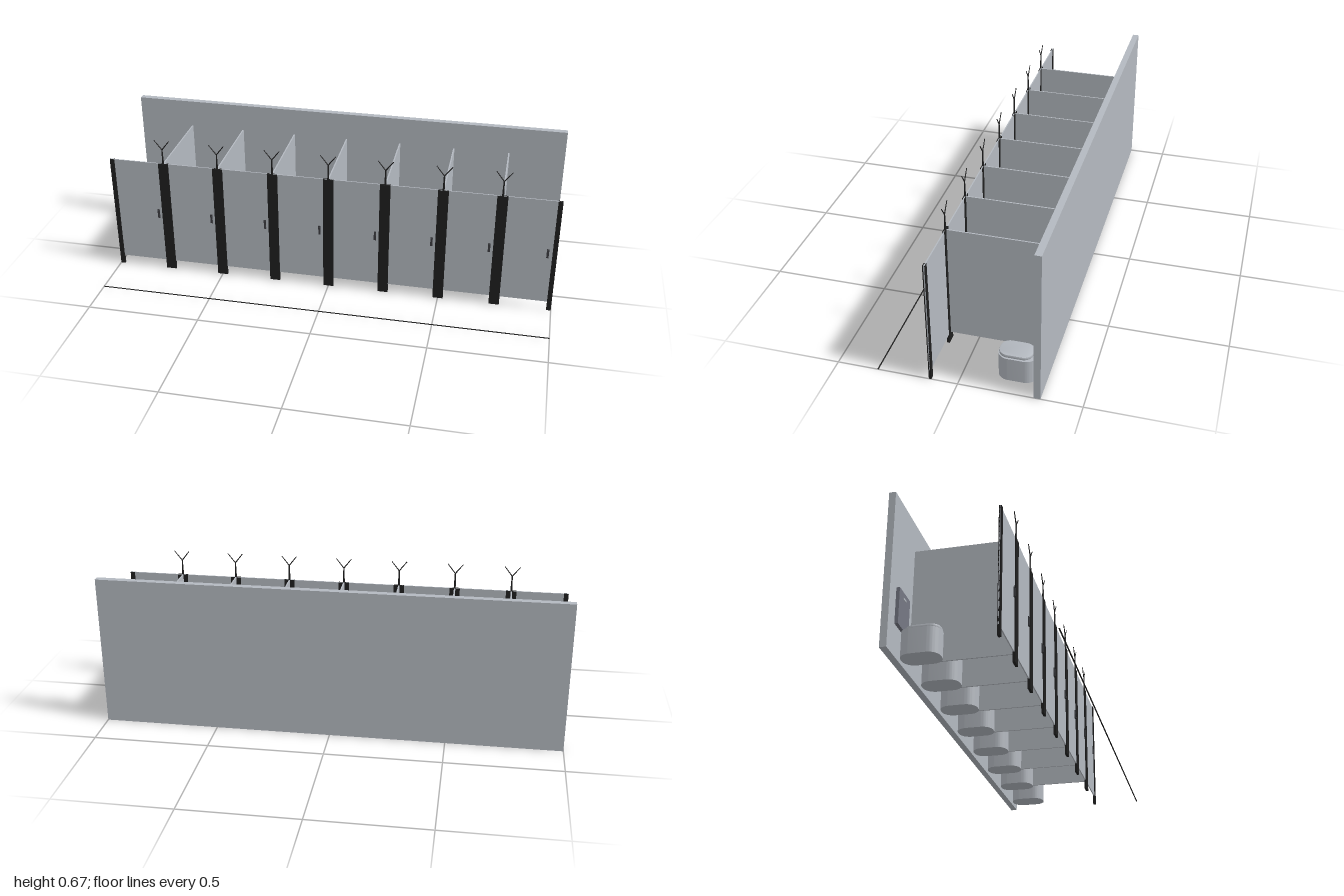
import * as THREE from 'three';
import { toCreasedNormals } from 'three/addons/utils/BufferGeometryUtils.js';

const mat = (name, color) => {
  const m = new THREE.MeshStandardMaterial({ color });
  m.name = name;
  return m;
};

export function createModel() {
  const root = new THREE.Group();
  root.name = 'toiletCubicleRow';
  const panel = mat('pale grey', 0xb4b9c0);
  const black = mat('black', 0x1f1f1f);
  const steel = mat('steel grey', 0x757883);
  const dark = mat('dark grey', 0x3c3d41);

  const add = (parent, name, geo, material) => {
    const mesh = new THREE.Mesh(geo, material);
    mesh.name = name;
    parent.add(mesh);
    return mesh;
  };
  // box given by its minimum and maximum corners
  const box = (parent, name, material, [x0, y0, z0], [x1, y1, z1]) => {
    const mesh = add(parent, name, new THREE.BoxGeometry(x1 - x0, y1 - y0, z1 - z0), material);
    mesh.position.set((x0 + x1) / 2, (y0 + y1) / 2, (z0 + z1) / 2);
    return mesh;
  };
  // upright solid with a rounded rectangular plan
  const roundedSolid = (w, z0, z1, r, y0, y1, bevel = 0) => {
    const a = w / 2 - bevel, b = (z1 - z0) / 2 - bevel;
    const s = new THREE.Shape();
    s.moveTo(a, -b + r);
    s.lineTo(a, b - r);
    s.absarc(a - r, b - r, r, 0, Math.PI / 2);
    s.absarc(-a + r, b - r, r, Math.PI / 2, Math.PI);
    s.absarc(-a + r, -b + r, r, Math.PI, Math.PI * 1.5);
    s.absarc(a - r, -b + r, r, Math.PI * 1.5, Math.PI * 2);
    const geo = new THREE.ExtrudeGeometry(s, {
      depth: y1 - y0 - 2 * bevel, curveSegments: 10, bevelEnabled: bevel > 0,
      bevelSize: bevel, bevelThickness: bevel, bevelSegments: 2,
    });
    geo.rotateX(-Math.PI / 2);
    geo.translate(0, y0 + bevel, (z0 + z1) / 2);
    return toCreasedNormals(geo, 0.6);
  };

  // back wall and the floor line in front
  box(root, 'backWall', panel, [-1, 0, -0.333], [1, 0.667, -0.305]);
  box(root, 'floorLine', black, [-1, 0, 0.328], [1, 0.002, 0.333]);

  const bowlGeo = roundedSolid(0.105, -0.292, -0.135, 0.046, 0, 0.106);
  const lidGeo = roundedSolid(0.092, -0.275, -0.138, 0.036, 0.106, 0.12, 0.003);

  // eight stalls
  const n = 8, pitch = 2 / n;
  for (let i = 0; i < n; i++) {
    const stall = new THREE.Group();
    stall.name = 'stall';
    stall.position.x = -1 + (i + 0.5) * pitch;
    root.add(stall);
    box(stall, 'door', panel, [-0.125, 0.042, 0.109], [0.125, 0.543, 0.114]);
    box(stall, 'handlePlate', dark, [0.08, 0.265, 0.113], [0.09, 0.308, 0.117]);
    box(stall, 'handleGrip', dark, [0.081, 0.27, 0.117], [0.089, 0.303, 0.12]);
    add(stall, 'bowl', bowlGeo, panel);
    add(stall, 'lid', lidGeo, panel);
    box(stall, 'flushPlate', steel, [-0.059, 0.127, -0.305], [0.059, 0.28, -0.291]);
    box(stall, 'flushButton', panel, [-0.015, 0.25, -0.291], [0.015, 0.258, -0.289]);
  }

  // partitions, posts and the forked tops between stalls
  for (let i = 1; i < n; i++) {
    const x = -1 + i * pitch;
    box(root, 'partition', panel, [x - 0.003, 0.042, -0.305], [x + 0.003, 0.543, 0.109]);
    box(root, 'post', black, [x - 0.023, 0, 0.107], [x + 0.023, 0.543, 0.118]);
    const fork = new THREE.Group();
    fork.name = 'fork';
    fork.position.set(x, 0.543, 0.1125);
    root.add(fork);
    const stem = add(fork, 'stem', new THREE.CylinderGeometry(0.0025, 0.0045, 0.072, 8), black);
    stem.position.y = 0.036;
    for (const side of [-1, 1]) {
      const arm = add(fork, 'arm', new THREE.CylinderGeometry(0.0018, 0.0026, 0.056, 8), black);
      arm.position.set(side * 0.0165, 0.09, 0);
      arm.rotation.z = -side * 0.66;
    }
  }

  // narrow posts at both ends
  for (const side of [-1, 1]) {
    const post = box(root, 'endPost', black, [-0.01, 0, 0.107], [0.01, 0.543, 0.118]);
    post.position.x = side * 0.99;
  }
  return root;
}
